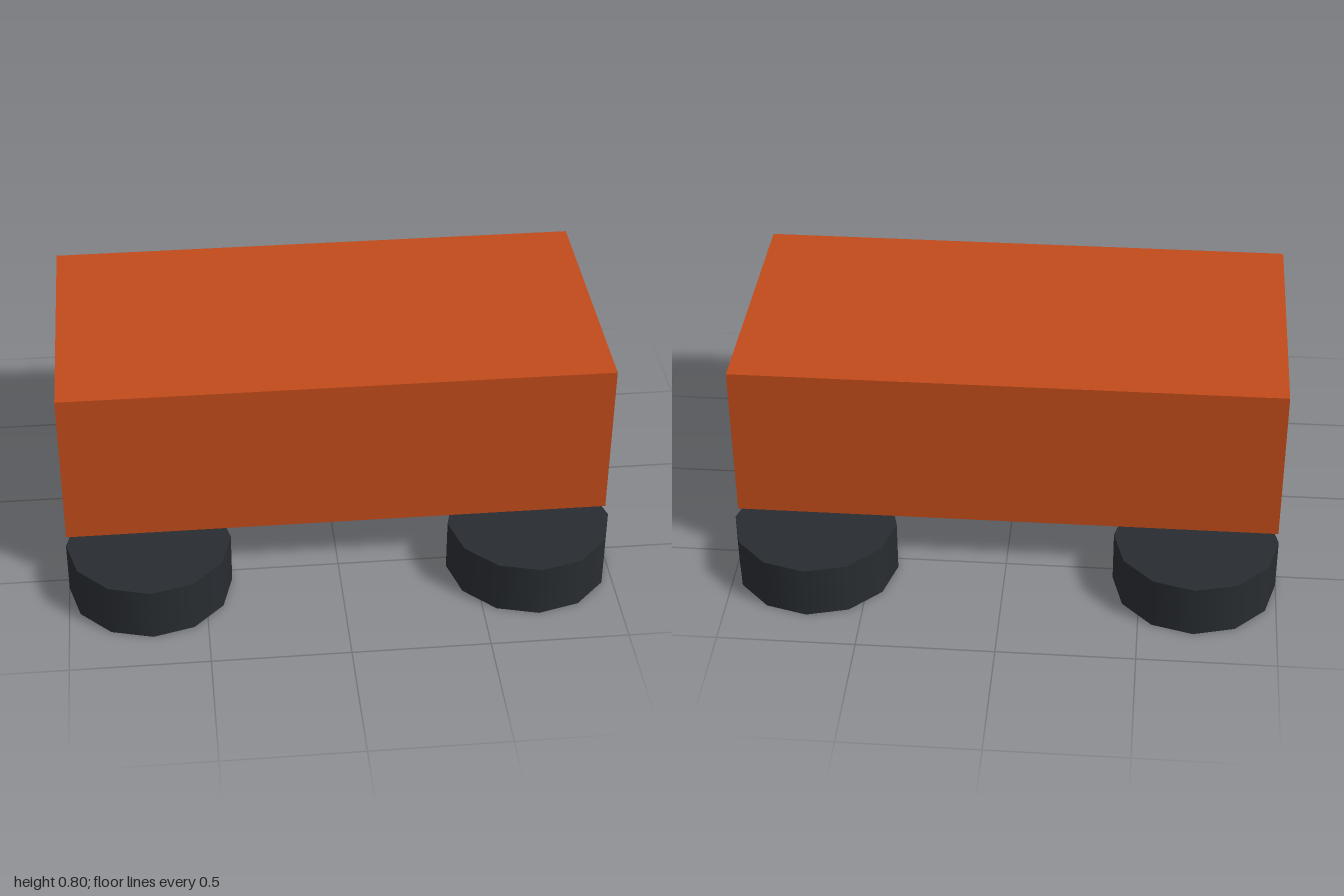
import * as THREE from 'three';

export function createModel() {
  const model = new THREE.Group();
  model.name = 'cart';

  // Plain box body resting on the wheels
  const body = new THREE.Mesh(
    new THREE.BoxGeometry(2, 0.6, 1),
    new THREE.MeshStandardMaterial({ color: 0xc04a1a })
  );
  body.name = 'body';
  body.position.y = 0.5;
  model.add(body);

  // Four twelve-sided wheels lying flat under the corners
  const wheelGeometry = new THREE.CylinderGeometry(0.3, 0.3, 0.2, 12);
  const wheelMaterial = new THREE.MeshStandardMaterial({ color: 0x282c30 });
  for (const [endName, z] of [['front', 0.55], ['back', -0.55]]) {
    for (const [sideName, x] of [['Left', 0.7], ['Right', -0.7]]) {
      const wheel = new THREE.Mesh(wheelGeometry, wheelMaterial);
      wheel.name = `${endName}${sideName}Wheel`;
      wheel.position.set(x, 0.1, z);
      model.add(wheel);
    }
  }

  return model;
}
